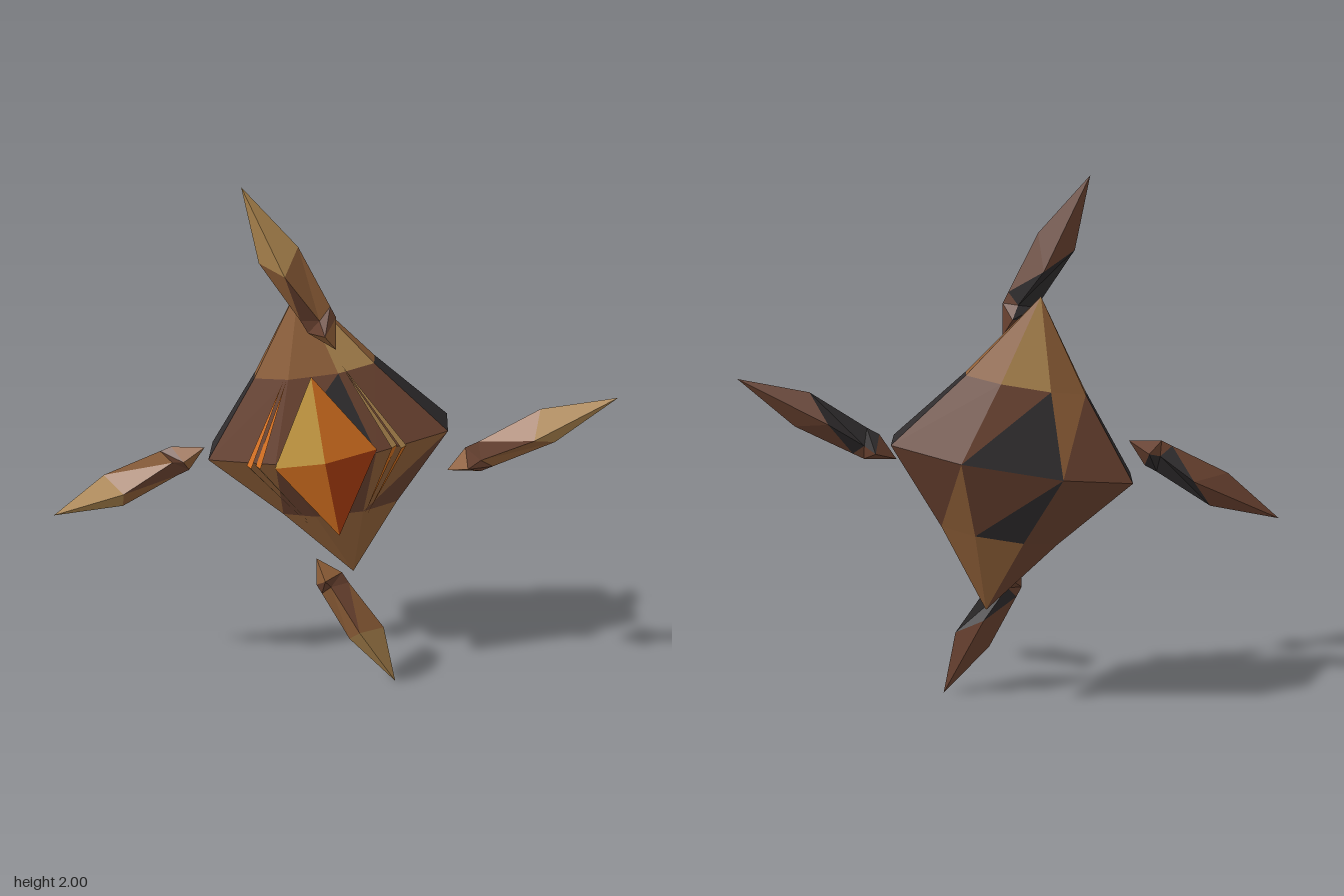
import * as THREE from 'three';

const mat = (name, color) => {
  const m = new THREE.MeshStandardMaterial({ color, side: THREE.DoubleSide, flatShading: true });
  m.name = name;
  return m;
};
const V = (x, y, z) => new THREE.Vector3(x, y, z);

// Faceted mesh from [a, b, c, colourKey, innerPoint]; every face is turned away from its inner point
function facets(name, tris, palette) {
  const pos = [], mats = [];
  const geo = new THREE.BufferGeometry();
  for (const key of Object.keys(palette)) {
    const start = pos.length / 3;
    for (const [a, b, c, k, inner] of tris) {
      if (k !== key) continue;
      const n = b.clone().sub(a).cross(c.clone().sub(a));
      const out = n.dot(a.clone().sub(inner)) >= 0;
      for (const p of out ? [a, b, c] : [a, c, b]) pos.push(p.x, p.y, p.z);
    }
    const count = pos.length / 3 - start;
    if (!count) continue;
    geo.addGroup(start, count, mats.length);
    mats.push(palette[key]);
  }
  geo.setAttribute('position', new THREE.Float32BufferAttribute(pos, 3));
  geo.computeVertexNormals();
  const mesh = new THREE.Mesh(geo, mats);
  mesh.name = name;
  return mesh;
}

// Skin of triangles between successive rings; two colour letters per quad
function loft(rings, colours) {
  const tris = [];
  for (let i = 0; i + 1 < rings.length; i++) {
    const A = rings[i], B = rings[i + 1], n = A.length;
    const mid = V(0, 0, 0);
    [...A, ...B].forEach((p) => mid.addScaledVector(p, 0.5 / n));
    for (let j = 0; j < n; j++) {
      const k = (j + 1) % n;
      if (A[j] !== A[k]) tris.push([A[j], A[k], B[k], colours[i][2 * j], mid]);
      if (B[j] !== B[k]) tris.push([A[j], B[k], B[j], colours[i][2 * j + 1], mid]);
    }
  }
  return tris;
}

export function createModel() {
  const palette = {
    k: mat('charcoal', 0x2f2c2d),
    d: mat('dark brown', 0x543528),
    b: mat('brown', 0x6b4331),
    c: mat('copper brown', 0x93623a),
    t: mat('tan', 0xb08850),
    y: mat('gold', 0xd8a84a),
    o: mat('orange', 0xd4701f),
    r: mat('rust', 0xa83c0e),
  };
  const model = new THREE.Group();
  model.name = 'crystal';
  const core = new THREE.Group();
  core.name = 'core';
  core.position.y = 1.01;
  model.add(core);

  // Body: eight-sided double pyramid, tilted
  const ring = (h, s) => Array.from({ length: 8 }, (_, i) => {
    const a = (i + 0.5) * Math.PI / 4;
    return V(0.472 * s * Math.cos(a), h, 0.17 * s * Math.sin(a));
  });
  const cap = (p, n) => Array(n).fill(p);
  const body = facets('body', loft(
    [cap(V(0, 0.6, 0), 8), ring(0.287, 0.49), ring(0, 1), ring(-0.287, 0.49), cap(V(0, -0.6, 0), 8)],
    ['ttccccccccttcccc', 'bbbkbbkkcbbkbbkk', 'cbbbcbkkbbbkbckd', 'ccccccccbbccccbb'],
  ), palette);
  body.rotation.z = 0.165;
  body.position.z = -0.025;
  core.add(body);

  // Gem: four coloured facets, repeated on its shallow rear
  const rim = [V(-0.05, 0.32, 0.125), V(0.18, 0.045, 0.135), V(0.05, -0.33, 0.125), V(-0.18, -0.045, 0.135)];
  const mid = V(0, 0, 0.13);
  const gem = [];
  rim.forEach((p, i) => {
    const q = rim[(i + 1) % 4];
    for (const z of [0.168, 0.09]) gem.push([p, q, V(0, 0, z), 'oroy'[i], mid]);
  });
  core.add(facets('gem', gem, palette));

  // Thin bowed slivers on both sides of the gem
  for (const side of [0, 1]) {
    const tris = [];
    [[0.283, 0.265], [0.25, 0.232]].forEach(([xo, xi], i) => {
      const top = V(0.05 + 0.01 * i, 0.34 - 0.02 * i, 0.065);
      const low = V(0.15 - 0.01 * i, -0.27, 0.065);
      const o = V(xo, 0.05, 0.11), n = V(xi, 0.05, 0.132), inner = V(0.2, 0.05, 0);
      tris.push([top, o, n, 't', inner], [low, o, n, 'o', inner]);
    });
    const sliver = facets(side ? 'rightSlivers' : 'leftSlivers', tris, palette);
    sliver.rotation.z = side * Math.PI;
    core.add(sliver);
  }

  // Four floating blades, each with a beaded root, in rotational symmetry
  const z = 0.115;
  const blade = loft([
    cap(V(0.035, 0.43, z), 4),
    [V(-0.06, 0.49, z), V(0, 0.5, 0.165), V(0.035, 0.55, z), V(0, 0.5, 0.06)],
    [V(-0.085, 0.535, z), V(-0.02, 0.545, 0.135), V(0.015, 0.59, z), V(-0.02, 0.545, 0.098)],
    [V(-0.22, 0.74, z), V(-0.13, 0.72, 0.182), V(-0.09, 0.8, z), V(-0.11, 0.67, 0.068)],
    cap(V(-0.27, 1, z), 4),
  ], ['ccccbbbb', 'bbbbbbkk', 'bccckbkk', 'ttttbbbb']);
  ['topBlade', 'rightBlade', 'bottomBlade', 'leftBlade'].forEach((name, i) => {
    const fin = facets(name, blade, palette);
    fin.position.y = 1;
    fin.rotation.z = i * Math.PI / 2;
    model.add(fin);
  });
  return model;
}
